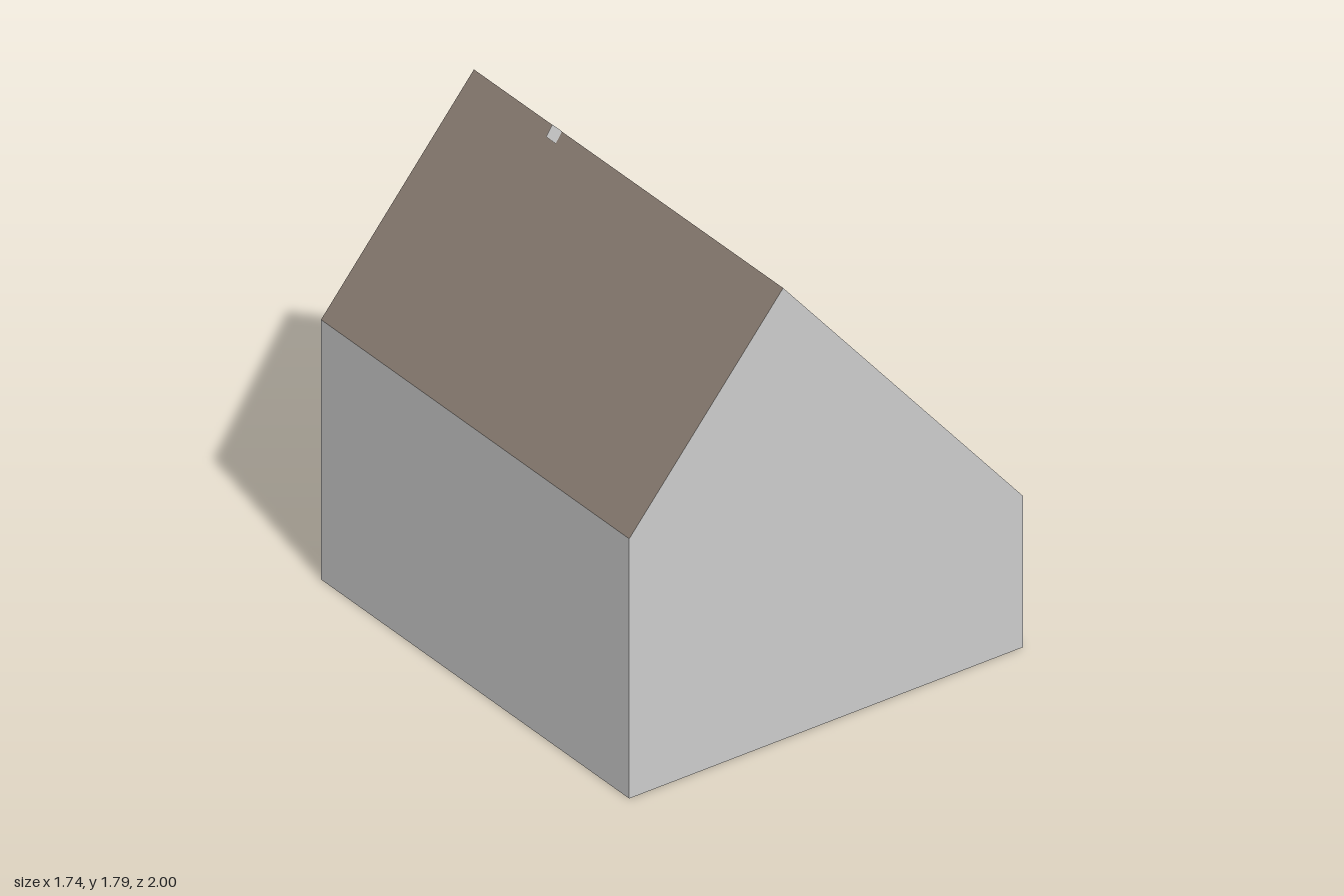
import * as THREE from 'three';

const RIDGE_Y = 1.79;
const PITCH = 1.174;

// Plan corners, anticlockwise from above: [x, eave height, z]
const backLeft = [-0.59, 1.03, -1.0];
const frontLeft = [-0.87, 1.03, 0.745];
const frontRight = [0.768, 0.6, 1.0];
const wingBack = [0.866, 0.605, 0.333];
const notch = [0.472, 1.077, 0.272];
const backRight = [0.662, 1.053, -0.807];
const ridgeFront = [-0.23, RIDGE_Y, 0.845];
const ridgeBack = [0.045, RIDGE_Y, -0.9];
const ground = ([x, , z]) => [x, 0, z];

// Flat faces, each a fan of triangles around its first corner
function facesMesh(name, material, faces) {
  const pos = [];
  for (const f of faces) {
    for (let i = 1; i < f.length - 1; i++) pos.push(...f[0], ...f[i], ...f[i + 1]);
  }
  const g = new THREE.BufferGeometry();
  g.setAttribute('position', new THREE.Float32BufferAttribute(pos, 3));
  g.computeVertexNormals();
  const m = new THREE.Mesh(g, material);
  m.name = name;
  return m;
}

// Wall between two neighbouring corners, with an optional gable peak
const wall = (a, b, peak) => [ground(a), ground(b), b, ...(peak ? [peak] : []), a];

// Point on the roof at depth z and distance d from the ridge (+d is right)
function onRoof(z, d) {
  const t = (z - ridgeBack[2]) / (ridgeFront[2] - ridgeBack[2]);
  const x = THREE.MathUtils.lerp(ridgeBack[0], ridgeFront[0], t) + d / 0.988;
  return [x, RIDGE_Y - PITCH * Math.abs(d) + 0.006, z];
}
const patch = (z0, z1, d0, d1) =>
  [onRoof(z1, d0), onRoof(z1, d1), onRoof(z0, d1), onRoof(z0, d0)];

export function createModel() {
  const wallGrey = new THREE.MeshStandardMaterial({ color: 0xcccccc });
  wallGrey.name = 'wall grey';
  const roofBrown = new THREE.MeshStandardMaterial({ color: 0x877a70 });
  roofBrown.name = 'roof brown';

  const house = new THREE.Group();
  house.name = 'house';

  house.add(facesMesh('walls', wallGrey, [
    wall(frontLeft, frontRight, ridgeFront),
    wall(frontRight, wingBack),
    wall(wingBack, notch),
    wall(notch, backRight),
    wall(backRight, backLeft, ridgeBack),
    wall(backLeft, frontLeft),
  ]));

  house.add(facesMesh('floor', wallGrey, [
    [notch, wingBack, frontRight, frontLeft, backLeft, backRight].map(ground),
  ]));

  house.add(facesMesh('leftRoof', roofBrown, [[ridgeBack, backLeft, frontLeft, ridgeFront]]));
  house.add(facesMesh('rightRoof', roofBrown, [
    [notch, backRight, ridgeBack, ridgeFront, frontRight, wingBack],
  ]));

  // Small pale marks on the roof
  house.add(facesMesh('roofMarks', wallGrey, [
    patch(0.405, 0.445, 0.642, 0.66),
    patch(0.325, 0.405, 0.65, 0.67),
    patch(-0.455, -0.4, -0.032, -0.002),
  ]));
  return house;
}
